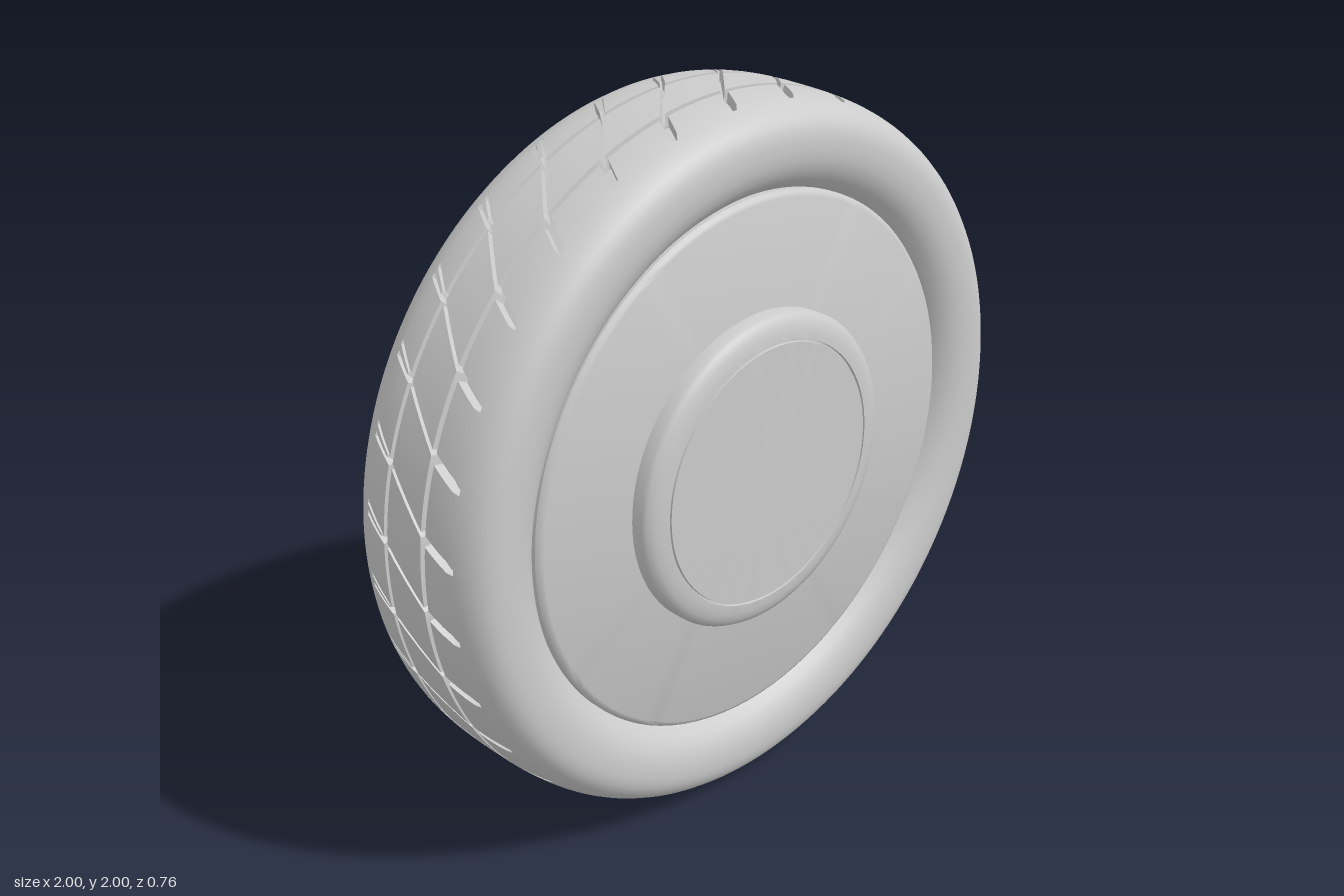
import * as THREE from 'three';
import { toCreasedNormals } from 'three/addons/utils/BufferGeometryUtils.js';

const material = new THREE.MeshStandardMaterial({ color: 0xcccccc });

function addMesh(parent, name, geometry, crease = 0.6) {
  const mesh = new THREE.Mesh(toCreasedNormals(geometry, crease), material);
  mesh.name = name;
  parent.add(mesh);
  return mesh;
}

// Lathe around the wheel axis; points are [radius, z]
function turned(points, segments = 96) {
  const profile = points.map(([r, z]) => new THREE.Vector2(r, z));
  return new THREE.LatheGeometry(profile, segments).rotateX(Math.PI / 2);
}

// Tyre: a grid sheared along the tread so its columns follow the slanted slots
function tireGeometry() {
  const middle = 0.1, pitches = 30, pitch = Math.PI * 2 / pitches, columns = 13, lip = 0.002;
  const side = [[0.75, 0.17], [0.765, 0.198], [0.785, 0.22], [0.81, 0.237], [0.84, 0.247]];
  const shoulder = [0.25, 0.2495, 0.248, 0.244, 0.237, 0.226, 0.21, 0.19];
  const tread = [-0.064, -0.06, -0.04, -0.015, 0.005, 0.018, 0.02, 0.03, 0.032, 0.06, 0.1, 0.135,
    0.163, 0.165, 0.177, 0.179, 0.2, 0.225, 0.25, 0.265, 0.269];
  const crown = z => 0.87 + 0.13 * Math.cbrt(Math.max(0, 1 - (Math.abs(z - middle) / 0.25) ** 3));
  const rows = [
    ...side.map(([r, t]) => [r, middle - t]),
    ...shoulder.map(t => [crown(middle - t), middle - t]),
    ...tread.map(z => [crown(z), z]),
    ...shoulder.slice().reverse().map(t => [crown(middle + t), middle + t]),
    ...side.slice().reverse().map(([r, t]) => [r, middle + t]),
  ];

  // Slant of the slots and their half width, by z
  const slant = z => {
    if (z > 0.17) return 0.6 * (Math.min(z, 0.265) - 0.17);
    if (z > 0.025) return 0.97 * (z - 0.17);
    return -0.14 + 0.7 * (Math.max(z, -0.06) - 0.025);
  };
  const halfWidth = z => {
    if (z > 0.26) return 0.009;
    if (z > 0.178) return 0.015;
    return z > 0.019 ? 0.0075 : 0.012 + 0.12 * (0.019 - Math.max(z, -0.06));
  };

  const positions = [], index = [], count = pitches * columns;
  for (const [r, z] of rows) {
    const h = halfWidth(z), m = h * 0.45;
    const edges = [-h, -h + lip, -m, -m + lip, m - lip, m, h - lip, h];
    const ring = (z >= 0.02 && z <= 0.03) || (z >= 0.165 && z <= 0.177);
    const slotted = z >= -0.06 && z <= 0.265;
    for (let k = 0; k < count; k++) {
      const j = k % columns;
      const local = j < 8 ? edges[j] : h + (pitch - 2 * h) * (j - 7) / 6;
      const island = z < 0.01 && (j === 3 || j === 4); // slots fork on the rear shoulder
      const depth = ring ? 0.045 : slotted && j > 0 && j < 7 && !island ? 0.03 : 0;
      const a = Math.floor(k / columns) * pitch + local + slant(z) - 0.116;
      positions.push((r - depth) * Math.cos(a), (r - depth) * Math.sin(a), z);
    }
  }
  for (let i = 0; i < rows.length - 1; i++) {
    for (let k = 0; k < count; k++) {
      const next = (k + 1) % count, low = i * count, high = low + count;
      index.push(low + k, low + next, high + next, low + k, high + next, high + k);
    }
  }
  const geometry = new THREE.BufferGeometry();
  geometry.setAttribute('position', new THREE.Float32BufferAttribute(positions, 3));
  geometry.setIndex(index);
  return geometry;
}

// Disc in the hub's recess, with a keyed axle hole and a small pin hole
function hubDiscGeometry() {
  const shape = new THREE.Shape().absarc(0, 0, 0.268, 0, Math.PI * 2);
  const key = new THREE.Path(), half = 0.3;
  key.absarc(0, 0, 0.105, -half, half);
  key.absarc(0, 0, 0.085, half, Math.PI - half);
  key.absarc(0, 0, 0.105, Math.PI - half, Math.PI + half);
  key.absarc(0, 0, 0.085, Math.PI + half, Math.PI * 2 - half);
  key.closePath();
  const pin = new THREE.Path().absarc(-0.21, -0.06, 0.018, 0, Math.PI * 2);
  shape.holes.push(key, pin);
  return new THREE.ExtrudeGeometry(shape, { depth: 0.05, bevelEnabled: false, curveSegments: 48 })
    .translate(0, 0, -0.36);
}

// Rounded gusset in the radius / depth plane
function ribGeometry() {
  const shape = new THREE.Shape();
  shape.moveTo(0.36, 0.13);
  shape.lineTo(0.52, 0.13);
  shape.quadraticCurveTo(0.525, 0.155, 0.5, 0.175);
  shape.lineTo(0.42, 0.24);
  shape.quadraticCurveTo(0.4, 0.262, 0.36, 0.262);
  shape.closePath();
  return new THREE.ExtrudeGeometry(shape, {
    depth: 0.026, bevelThickness: 0.012, bevelSize: 0.012, bevelSegments: 3, curveSegments: 6,
  }).translate(0, 0, -0.013).rotateX(-Math.PI / 2);
}

export function createModel() {
  const wheel = new THREE.Group();
  wheel.name = 'wheel';
  wheel.position.y = 1;

  addMesh(wheel, 'tire', tireGeometry());

  // Front plate and its round cap
  addMesh(wheel, 'frontPlate', turned([
    [0.757, 0.2], [0.757, 0.3], [0.75, 0.31], [0.74, 0.314], [0, 0.314]]));
  addMesh(wheel, 'frontCap', turned([
    [0.445, 0.3], [0.445, 0.348], [0.438, 0.36], [0.42, 0.37], [0.4, 0.375], [0.374, 0.378],
    [0.373, 0.37], [0.369, 0.37], [0.368, 0.378], [0, 0.378]]));

  // Rear hub flaring into a shallow cone
  addMesh(wheel, 'rearHub', turned([
    [0, -0.315], [0.287, -0.315], [0.287, -0.375], [0.292, -0.38], [0.38, -0.38], [0.384, -0.376],
    [0.39, -0.215], [0.397, -0.19], [0.415, -0.171], [0.445, -0.158], [0.49, -0.148],
    [0.757, -0.1], [0.757, 0]]));
  addMesh(wheel, 'hubDisc', hubDiscGeometry());

  // Six ribs bracing the hub against the cone
  const rib = ribGeometry();
  for (let i = 0; i < 6; i++) {
    addMesh(wheel, 'rib', rib).rotation.z = THREE.MathUtils.degToRad(38 + i * 60);
  }

  // Small studs around the hub's rear ring
  const stud = new THREE.CylinderGeometry(0.005, 0.005, 0.01, 8).rotateX(Math.PI / 2);
  for (let i = 0; i < 18; i++) {
    const a = i * Math.PI / 9;
    addMesh(wheel, 'stud', stud).position.set(0.337 * Math.cos(a), 0.337 * Math.sin(a), -0.377);
  }

  const model = new THREE.Group();
  model.name = 'model';
  model.add(wheel);
  return model;
}
